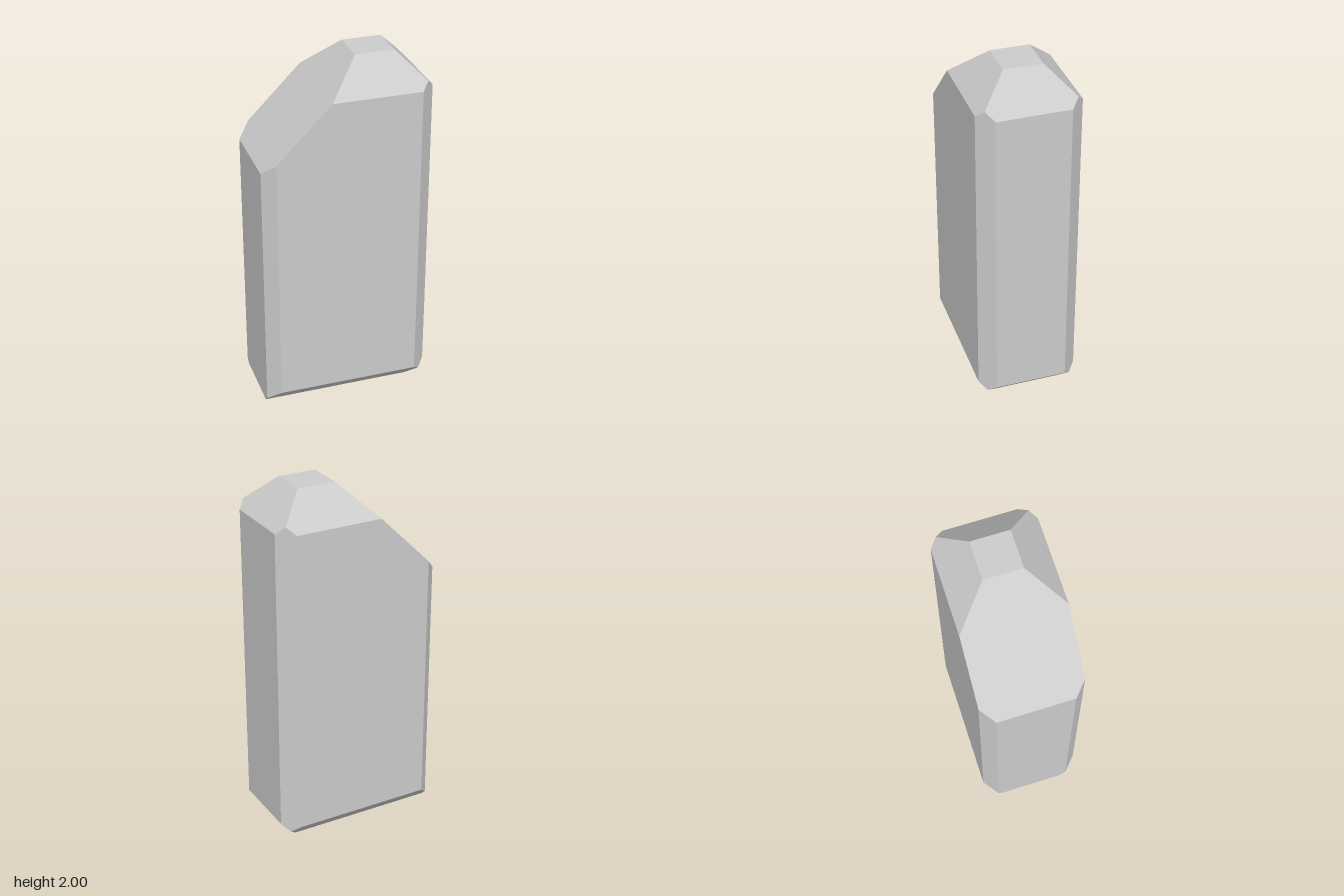
import * as THREE from 'three';
import { ConvexGeometry } from 'three/addons/geometries/ConvexGeometry.js';

// Solid bounded by planes [nx, ny, nz, d], keeping n·p <= d
function solidFromPlanes(planes) {
  const normals = planes.map(([x, y, z]) => new THREE.Vector3(x, y, z));
  const inside = (p) => planes.every(([, , , d], i) => normals[i].dot(p) <= d + 1e-6);
  const corners = [];
  for (let i = 0; i < planes.length; i++)
    for (let j = i + 1; j < planes.length; j++)
      for (let k = j + 1; k < planes.length; k++) {
        const [a, b, c] = [normals[i], normals[j], normals[k]];
        const bc = b.clone().cross(c);
        const det = a.dot(bc);
        if (Math.abs(det) < 1e-6) continue;
        // Point where the three planes meet
        const p = bc.multiplyScalar(planes[i][3])
          .addScaledVector(c.clone().cross(a), planes[j][3])
          .addScaledVector(a.clone().cross(b), planes[k][3])
          .divideScalar(det);
        if (inside(p)) corners.push(p);
      }
  return new ConvexGeometry(corners);
}

export function createModel() {
  const group = new THREE.Group();
  group.name = 'chamferedBlock';

  const planes = [
    [1, 0, 0, 0.47], [-1, 0, 0, 0.47], // sides
    [0, 1, 0, 2], [0, -1, 0, 0],       // top and base
    [-1, 1, 0, 1.925],                 // long slope on one side
    [1, 1, 0, 2.29],                   // short top bevel opposite
    [1, -1, 0, 0.37],                  // base bevel below it
  ];
  // Front and back faces with their bevels
  for (const s of [1, -1]) {
    planes.push(
      [0, 0, s, 0.283],
      [0, 1, s, 2.106],  // top bevel
      [0, -1, s, 0.184], // base bevel
      [1, 0, s, 0.671],  // wide upright bevel
      [-1, 0, s, s > 0 ? 0.686 : 0.681], // narrow upright bevel
    );
  }

  const block = new THREE.Mesh(
    solidFromPlanes(planes),
    new THREE.MeshStandardMaterial({ color: 0xcccccc, flatShading: true }),
  );
  block.name = 'block';
  group.add(block);
  return group;
}
